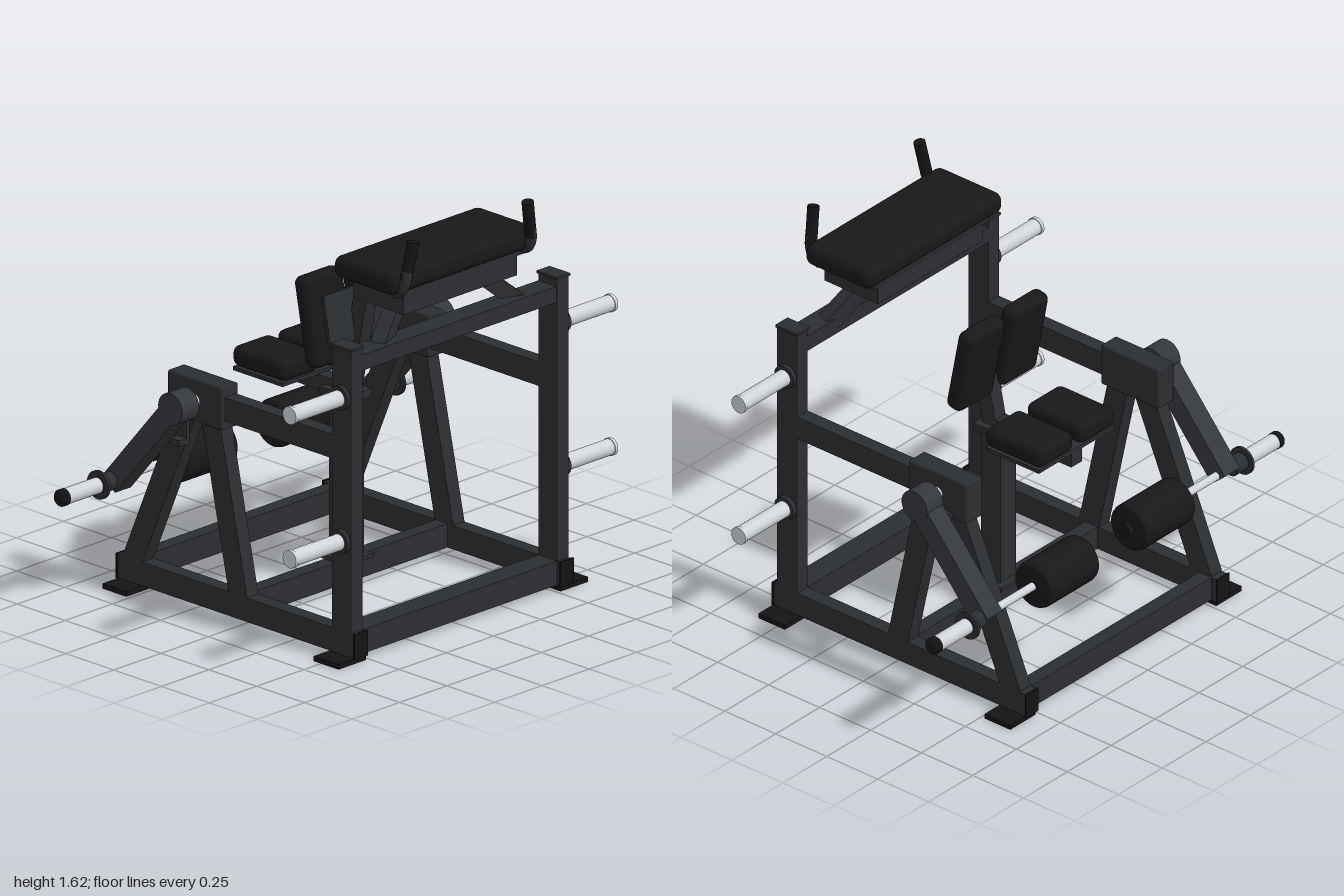
import * as THREE from 'three';
import { RoundedBoxGeometry } from 'three/addons/geometries/RoundedBoxGeometry.js';

const mat = (color) => new THREE.MeshStandardMaterial({ color });

export function createModel() {
  const model = new THREE.Group();
  const steel = mat(0x2b2e31), lever = mat(0x34383c), pad = mat(0x17181a);
  const rubber = mat(0x131415), chrome = mat(0xd0d4d8);

  const add = (name, geometry, material, x, y, z) => {
    const mesh = new THREE.Mesh(geometry, material);
    mesh.name = name;
    mesh.position.set(x, y, z);
    model.add(mesh);
    return mesh;
  };
  // Box given by its extents on each axis
  const box = (name, [x0, x1], [y0, y1], [z0, z1], material = steel) =>
    add(name, new THREE.BoxGeometry(Math.abs(x1 - x0), y1 - y0, z1 - z0), material,
      (x0 + x1) / 2, (y0 + y1) / 2, (z0 + z1) / 2);
  // Square tube running from a to b
  const beam = (name, a, b, w, h, material = steel) => {
    const p = new THREE.Vector3(...a), q = new THREE.Vector3(...b);
    const mid = p.clone().add(q).multiplyScalar(0.5);
    const mesh = add(name, new THREE.BoxGeometry(w, h, p.distanceTo(q)), material, mid.x, mid.y, mid.z);
    mesh.lookAt(q);
    return mesh;
  };
  // Cylinder along x
  const rod = (name, x0, x1, y, z, r, material) => {
    const mesh = add(name, new THREE.CylinderGeometry(r, r, Math.abs(x1 - x0), 32), material, (x0 + x1) / 2, y, z);
    mesh.rotation.z = Math.PI / 2;
    return mesh;
  };
  const cushion = (name, [w, h, d], r, [x, y, z]) =>
    add(name, new RoundedBoxGeometry(w, h, d, 4, r), pad, x, y, z);

  // Base and front cross members
  box('frontBaseRail', [-0.52, 0.52], [0.02, 0.115], [0.475, 0.573]);
  box('middleBaseRail', [-0.52, 0.52], [0.02, 0.115], [-0.06, 0]);
  box('rearBaseRail', [-0.52, 0.52], [0.02, 0.115], [-0.62, -0.56]);
  box('upperCrossbar', [-0.52, 0.52], [1.14, 1.203], [0.475, 0.57]);

  // Centre column and seat support
  box('columnFoot', [-0.075, 0.075], [0.115, 0.13], [-0.095, 0.055]);
  box('centreColumn', [-0.045, 0.045], [0.115, 0.755], [-0.065, 0.03]);
  box('columnCap', [-0.06, 0.06], [0.755, 0.785], [-0.1, 0.055]);
  box('seatBeam', [-0.03, 0.03], [0.755, 0.815], [-0.4, 0.03]);
  beam('backrestUpright', [0, 0.78, 0.0], [0, 1.165, 0.08], 0.06, 0.065);
  box('seatPlate', [-0.215, 0.215], [0.812, 0.827], [-0.4, -0.14]);
  const plate = box('backrestPlate', [-0.16, 0.16], [1.0, 1.2], [0.025, 0.04]);
  plate.rotation.x = -0.19;

  // Chest rest
  box('chestSupport', [-0.3, 0.3], [1.307, 1.385], [0.316, 0.577]);
  box('chestPlate', [-0.33, 0.33], [1.385, 1.405], [0.31, 0.58]);
  cushion('chestPad', [0.775, 0.088, 0.325], 0.035, [0, 1.447, 0.447]);

  for (const s of [1, -1]) {
    const w = [s * 0.515, s * 0.575];

    // Side frame
    box('sideBaseRail', w, [0.02, 0.115], [-0.648, 0.594]);
    box('frontPost', w, [0.115, 1.235], [0.475, 0.573]);
    box('postCap', [s * 0.51, s * 0.58], [1.232, 1.242], [0.47, 0.578]);
    box('sideArm', w, [0.785, 0.88], [-0.1, 0.48]);
    beam('innerLeg', [s * 0.545, 0.1, -0.015], [s * 0.545, 0.77, -0.16], 0.06, 0.095);
    beam('rearLeg', [s * 0.545, 0.1, -0.575], [s * 0.545, 0.78, -0.285], 0.06, 0.095);
    const housing = add('pivotHousing', new RoundedBoxGeometry(0.088, 0.17, 0.285, 2, 0.008), steel, s * 0.547, 0.836, -0.228);
    housing.material = steel;

    // Feet and end caps
    for (const [z0, z1] of [[0.462, 0.592], [-0.642, -0.517]])
      box('footPlate', [s * 0.515, s * 0.66], [0, 0.02], [z0, z1], rubber);
    for (const [z0, z1] of [[0.588, 0.597], [-0.651, -0.645]])
      box('railEndCap', [s * 0.51, s * 0.58], [0.018, 0.118], [z0, z1], rubber);

    // Weight storage pegs
    for (const y of [1.04, 0.47]) {
      rod('pegCollar', s * 0.575, s * 0.593, y, 0.525, 0.047, steel);
      rod('storagePeg', s * 0.575, s * 0.845, y, 0.525, 0.032, chrome);
      rod('pegTip', s * 0.838, s * 0.852, y, 0.525, 0.035, chrome);
    }

    // Chest rest strut and hand grip
    beam('chestStrut', [s * 0.37, 1.17, 0.515], [s * 0.19, 1.33, 0.445], 0.06, 0.065);
    const path = new THREE.CatmullRomCurve3([
      [0.335, 1.4, 0.56], [0.335, 1.42, 0.6], [0.332, 1.455, 0.617], [0.325, 1.5, 0.622],
    ].map(([x, y, z]) => new THREE.Vector3(s * x, y, z)));
    add('gripStem', new THREE.TubeGeometry(path, 16, 0.022, 16), steel, 0, 0, 0);
    const a = new THREE.Vector3(s * 0.33, 1.465, 0.618), b = new THREE.Vector3(s * 0.302, 1.612, 0.63);
    const mid = a.clone().lerp(b, 0.5);
    const grip = add('handGrip', new THREE.CylinderGeometry(0.023, 0.023, a.distanceTo(b), 24), rubber, mid.x, mid.y, mid.z);
    grip.quaternion.setFromUnitVectors(new THREE.Vector3(0, 1, 0), b.clone().sub(a).normalize());

    // Knee and thigh pads
    cushion('kneePad', [0.2, 0.082, 0.28], 0.03, [s * 0.118, 0.868, -0.27]);
    const thigh = cushion('thighPad', [0.207, 0.355, 0.078], 0.03, [s * 0.124, 1.1, -0.013]);
    thigh.rotation.x = -0.19;

    // Swinging lever
    rod('pivotShaft', s * 0.58, s * 0.64, 0.835, -0.226, 0.025, chrome);
    rod('pivotHub', s * 0.632, s * 0.722, 0.835, -0.226, 0.063, lever);
    beam('leverArm', [s * 0.677, 0.835, -0.226], [s * 0.677, 0.455, -0.55], 0.085, 0.085, lever);
    box('stopBracket', [s * 0.595, s * 0.612], [0.66, 0.78], [-0.3, -0.25]);
    box('stopBracketArm', [s * 0.595, s * 0.65], [0.66, 0.685], [-0.3, -0.25]);

    // Ankle roller and plate peg
    const y = 0.47, z = -0.54;
    rod('rollerBar', s * 0.12, s * 0.64, y, z, 0.016, chrome);
    rod('rollerEndCap', s * 0.108, s * 0.14, y, z, 0.028, rubber);
    const profile = [[0, -0.14], [0.078, -0.14], [0.09, -0.134], [0.094, -0.122],
      [0.094, 0.122], [0.09, 0.134], [0.078, 0.14], [0, 0.14]].map(([r, h]) => new THREE.Vector2(r, h));
    add('ankleRoller', new THREE.LatheGeometry(profile, 40), pad, s * 0.273, y, z).rotation.z = Math.PI / 2;
    rod('pegSleeve', s * 0.715, s * 0.79, y, z, 0.036, steel);
    rod('pegFlange', s * 0.776, s * 0.788, y, z, 0.056, steel);
    rod('platePeg', s * 0.78, s * 0.965, y, z, 0.031, chrome);
    rod('platePegTip', s * 0.962, s * 0.985, y, z, 0.033, rubber);
    const dome = add('platePegDome', new THREE.SphereGeometry(0.033, 24, 12), rubber, s * 0.983, y, z);
    dome.scale.x = 0.5;
  }
  return model;
}
